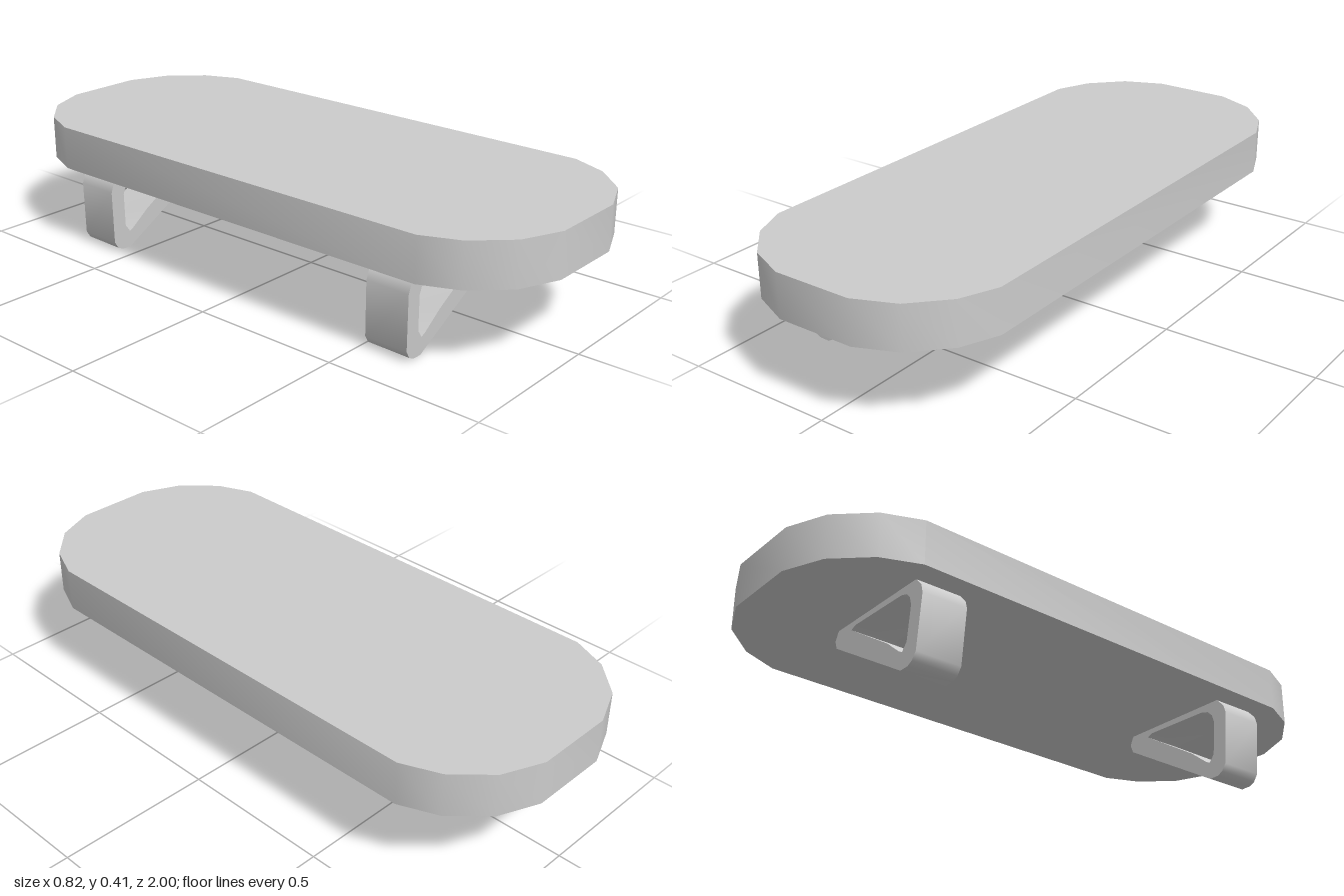
import * as THREE from 'three';
import { toCreasedNormals } from 'three/addons/utils/BufferGeometryUtils.js';

const points = (list) => list.map(([x, y]) => new THREE.Vector2(x, y));

function extrude(shape, depth) {
  return new THREE.ExtrudeGeometry(shape, { depth, bevelEnabled: false });
}

export function createModel() {
  const model = new THREE.Group();
  model.name = 'wallShelf';
  const material = new THREE.MeshStandardMaterial({ color: 0xcccccc });

  const addMesh = (geometry, name) => {
    const mesh = new THREE.Mesh(toCreasedNormals(geometry, 0.6), material);
    mesh.name = name;
    model.add(mesh);
    return mesh;
  };

  // Board: one faceted corner, mirrored to all four
  const corner = [[0.41, 0.72], [0.36, 0.84], [0.26, 0.945], [0.13, 1]];
  const half = [...corner, ...corner.map(([x, z]) => [-x, z]).reverse()];
  const outline = [...half, ...half.map(([x, z]) => [-x, -z])];
  const board = extrude(new THREE.Shape(points(outline)), 0.142);
  board.rotateX(-Math.PI / 2).translate(0, 0.273, 0);
  addMesh(board, 'board');

  // Triangular bracket with a rounded opening; its top is sunk into the board
  const profile = new THREE.Shape(points([
    [-0.295, 0], [0.065, 0.214], [0.076, 0.242], [0.065, 0.27], [0.04, 0.29],
    [-0.29, 0.29], [-0.335, 0.272], [-0.362, 0.243], [-0.371, 0.215],
    [-0.362, 0.035], [-0.347, 0.011], [-0.328, 0.001],
  ]));
  profile.holes.push(new THREE.Path(points([
    [-0.319, 0.197], [-0.31, 0.225], [-0.292, 0.243], [-0.265, 0.251],
    [-0.03, 0.255], [-0.01, 0.246], [-0.215, 0.117], [-0.28, 0.065],
    [-0.295, 0.058], [-0.313, 0.083],
  ])));

  // Slight lean of the brackets: z follows y, x follows z
  const lean = new THREE.Matrix4().set(
    1, 0, -0.025, 0,
    0, 1, 0, 0,
    0, 0.045, 1, 0,
    0, 0, 0, 1,
  );
  const bracket = extrude(profile, 0.15).translate(0, 0, -0.075).applyMatrix4(lean);
  for (const [name, z] of [['frontBracket', 0.59], ['rearBracket', -0.63]]) {
    addMesh(bracket, name).position.z = z;
  }
  return model;
}
